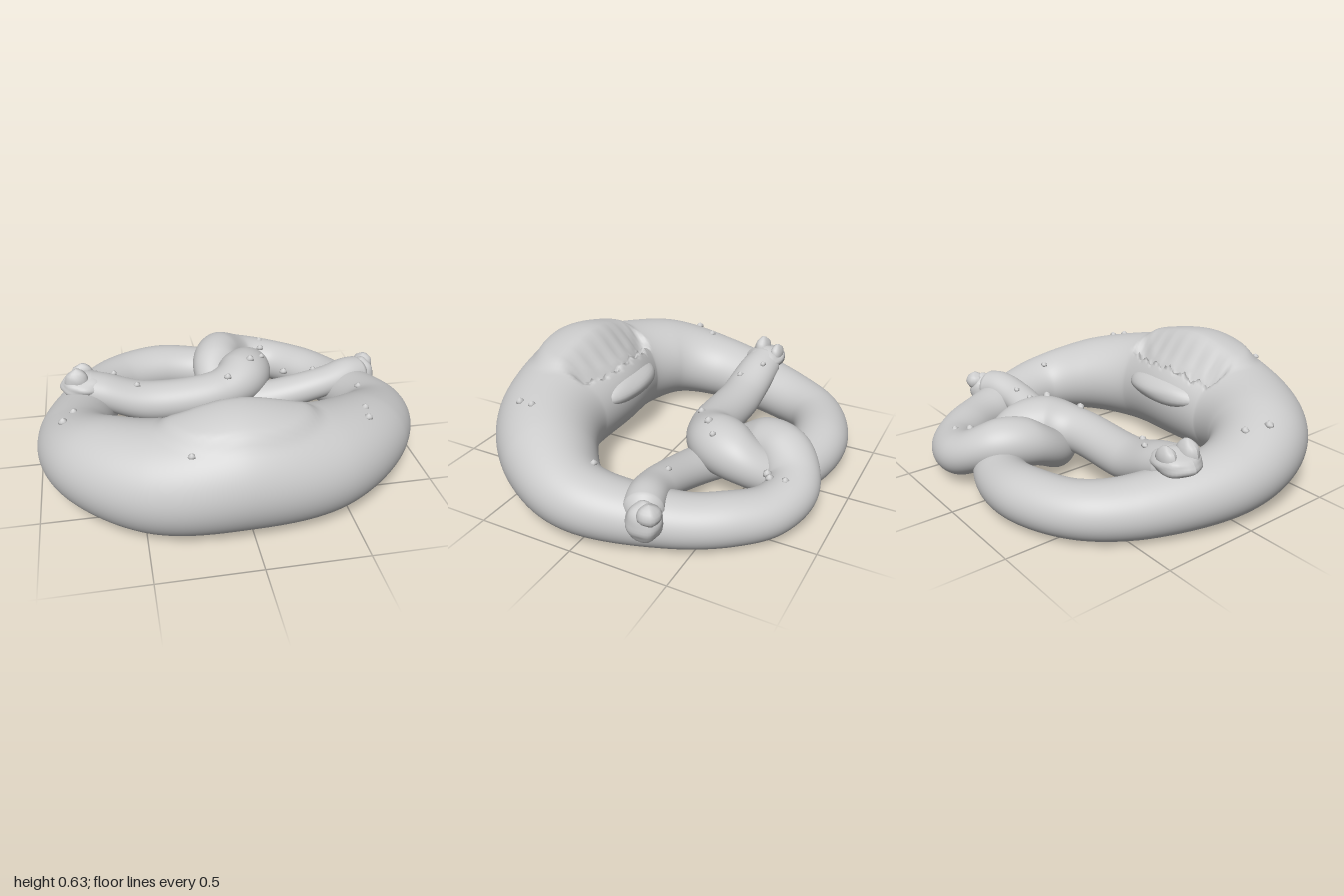
import * as THREE from 'three';

const material = new THREE.MeshStandardMaterial({ color: 0xcccccc, side: THREE.DoubleSide });
const FLOOR = 0.015;

// Strand stations from one tip to the other: x, y, z, half width
const STATIONS = [
  [-0.78, 0.34, -0.25, 0.1],
  [-0.62, 0.29, -0.235, 0.115],
  [-0.4, 0.22, -0.225, 0.12],
  [0.0, 0.23, -0.245, 0.125],
  [0.155, 0.25, -0.345, 0.155],
  [0.2, 0.23, -0.49, 0.15],
  [0.13, 0.14, -0.65, 0.13],
  [-0.04, 0.13, -0.735, 0.135],
  [-0.28, 0.145, -0.75, 0.145],
  [-0.54, 0.15, -0.64, 0.145],
  [-0.69, 0.155, -0.42, 0.16],
  [-0.8, 0.2, 0.05, 0.2],
  [-0.7, 0.255, 0.35, 0.245],
  [-0.42, 0.265, 0.545, 0.29],
  [-0.05, 0.305, 0.57, 0.335],
  [0.36, 0.265, 0.53, 0.29],
  [0.68, 0.235, 0.31, 0.235],
  [0.82, 0.19, 0.05, 0.18],
  [0.71, 0.14, -0.4, 0.14],
  [0.59, 0.135, -0.6, 0.135],
  [0.44, 0.135, -0.74, 0.13],
  [0.26, 0.17, -0.785, 0.13],
  [0.1, 0.25, -0.69, 0.135],
  [0.035, 0.24, -0.53, 0.135],
  [0.07, 0.15, -0.38, 0.125],
  [0.2, 0.13, -0.29, 0.11],
  [0.6, 0.22, -0.245, 0.095],
  [0.77, 0.255, -0.275, 0.095],
  [0.91, 0.24, -0.33, 0.09],
];

// Raised oval crust on the thick front, with a ragged split hollowed out behind it
function splitDough(p) {
  if (p.y < 0.3 || p.z < 0.1) return;
  const x = p.x + 0.04;
  const oval = 1 - Math.hypot(x / 0.4, (p.z - 0.56) / 0.25);
  const crust = 0.028 * THREE.MathUtils.smoothstep(oval, 0, 0.2);
  const ragged = 0.01 * Math.sin(p.x * 61) + 0.006 * Math.sin(p.x * 137 + 1);
  const back = 0.3 + 0.5 * x * x + ragged;
  const fade = Math.sqrt(Math.max(0, 1 - (x / 0.34) ** 2));
  const depth = THREE.MathUtils.smoothstep(p.z, back, back + 0.03) * (1 - THREE.MathUtils.smoothstep(p.z, back + 0.05, 0.54));
  p.y += crust - 0.1 * fade * depth;
}

function strandGeometry(steps = 480, sides = 88) {
  const path = new THREE.CatmullRomCurve3(STATIONS.map(([x, y, z]) => new THREE.Vector3(x, y, z)));
  const widths = new THREE.SplineCurve(STATIONS.map((s, i) => new THREE.Vector2(i, s[3])));
  const up = new THREE.Vector3(0, 1, 0);
  const positions = [], index = [];
  for (let i = 0; i <= steps; i++) {
    const t = i / steps;
    const c = path.getPoint(t);
    const side = path.getTangent(t).cross(up).normalize();
    // round off both ends
    const cap = Math.sqrt(Math.min(1, Math.min(i, steps - i) / 8 + 0.0001));
    const r = widths.getPoint(t).y * cap;
    for (let j = 0; j < sides; j++) {
      const a = (j / sides) * Math.PI * 2;
      const p = c.clone().addScaledVector(side, Math.cos(a) * r);
      p.y += Math.sin(a) * r * 0.92;
      splitDough(p);
      positions.push(p.x, Math.max(p.y, FLOOR), p.z);
      if (i < steps) {
        const k = i * sides + j, n = i * sides + ((j + 1) % sides);
        index.push(k, k + sides, n, n, k + sides, n + sides);
      }
    }
  }
  const g = new THREE.BufferGeometry();
  g.setAttribute('position', new THREE.Float32BufferAttribute(positions, 3));
  g.setIndex(index);
  g.computeVertexNormals();
  return g;
}

// Lumpy blob, warped by waves along its direction
function lump(name, position, scale, bump, wide = 40) {
  const g = new THREE.SphereGeometry(1, wide, Math.ceil(wide / 2));
  const pos = g.attributes.position, v = new THREE.Vector3();
  for (let i = 0; i < pos.count; i++) {
    v.fromBufferAttribute(pos, i);
    const k = 1 + bump * (Math.sin(5 * v.x + 1) * Math.sin(5 * v.z + 2) + 0.5 * Math.sin(8 * v.y + 4 * v.x));
    pos.setXYZ(i, v.x * k, v.y * k, v.z * k);
  }
  g.computeVertexNormals();
  const mesh = new THREE.Mesh(g, material);
  mesh.name = name;
  mesh.position.set(...position);
  mesh.scale.set(...scale);
  return mesh;
}

// Highest point of the dough near a spot
function heightAt(geometry, x, z) {
  const p = geometry.attributes.position;
  let y = 0;
  for (let i = 0; i < p.count; i++) {
    if (Math.hypot(p.getX(i) - x, p.getZ(i) - z) < 0.025) y = Math.max(y, p.getY(i));
  }
  return y;
}

function namedGroup(name, ...parts) {
  const group = new THREE.Group();
  group.name = name;
  return group.add(...parts);
}

export function createModel() {
  const dough = strandGeometry();
  const strand = new THREE.Mesh(dough, material);
  strand.name = 'doughStrand';

  // Raised inner lip below the split
  const lip = lump('splitLip', [-0.04, 0.35, 0.33], [0.27, 0.085, 0.13], 0.02);

  // Pinched strand ends pressed onto the sides
  const rightEnd = namedGroup('rightStrandEnd',
    lump('endKnob', [-0.745, 0.35, -0.245], [0.125, 0.065, 0.11], 0.05),
    lump('endPeak', [-0.78, 0.39, -0.21], [0.065, 0.07, 0.045], 0.05, 20),
    lump('endPeak', [-0.75, 0.385, -0.31], [0.06, 0.055, 0.035], 0.05, 20));
  const leftEnd = namedGroup('leftStrandEnd',
    lump('endKnob', [0.88, 0.215, -0.325], [0.075, 0.1, 0.085], 0.05),
    lump('endPeak', [0.905, 0.275, -0.365], [0.055, 0.05, 0.055], 0.05, 20));

  // Salt grains, placed by x and z
  const spots = [
    [-0.58, -0.29], [-0.46, -0.2], [0.05, -0.2], [0.2, -0.31], [0.28, -0.37], [0.36, -0.78],
    [0.35, -0.7], [0.3, -0.67], [0.57, -0.28], [0.74, 0.02], [-0.8, 0.14], [-0.85, 0.25],
    [-0.29, 0.77], [0.61, 0.46], [0.6, 0.54], [0.46, -0.52],
  ];
  const grains = spots.map(([x, z], i) => {
    const s = 0.017 + 0.002 * (i % 4);
    return lump('saltGrain', [x, heightAt(dough, x, z) - 0.006, z], [s, s * 0.8, s * 0.9], 0.15, 10);
  });

  return namedGroup('pretzel', strand, lip, rightEnd, leftEnd, namedGroup('saltGrains', ...grains));
}
